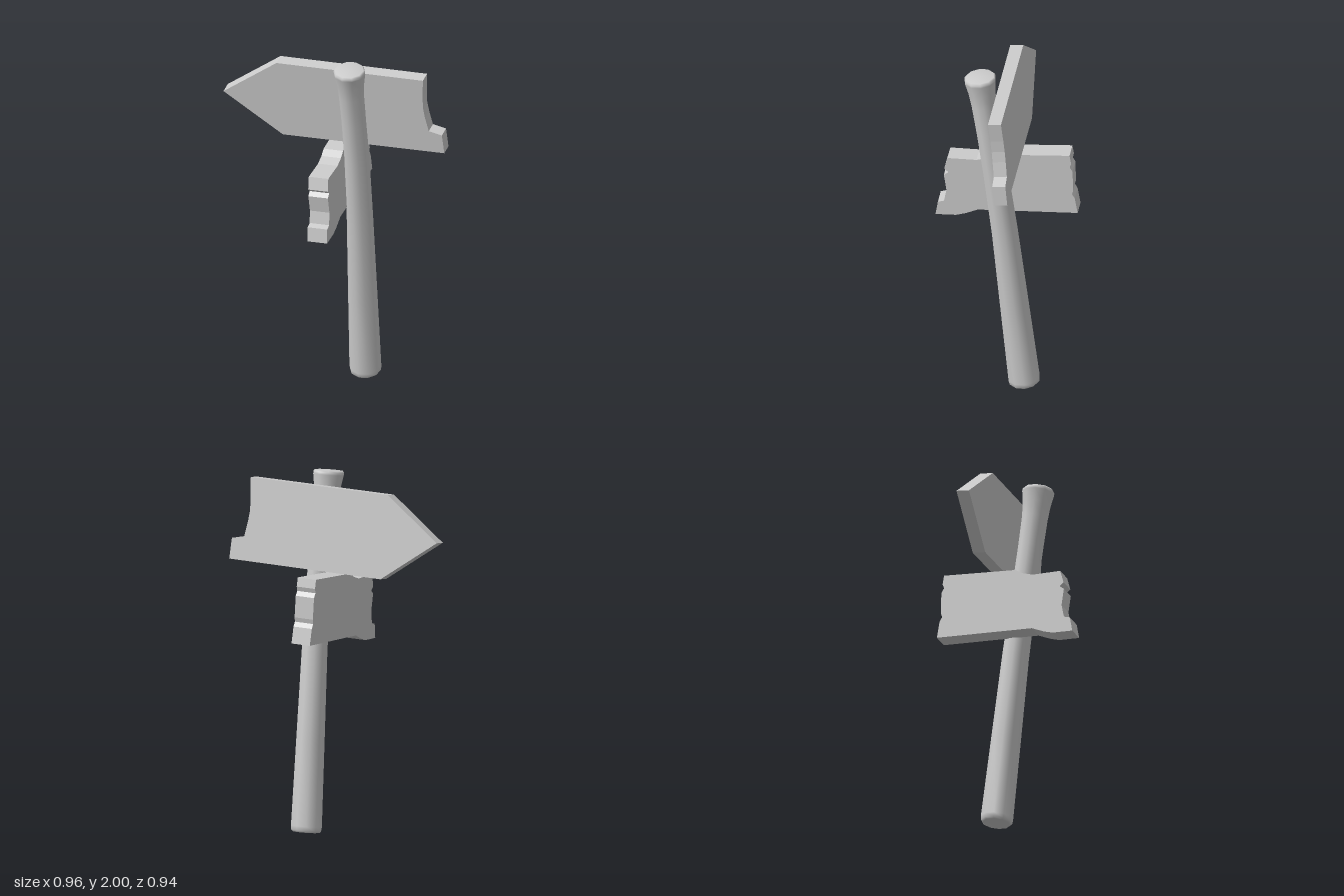
import * as THREE from 'three';
import { mergeVertices } from 'three/addons/utils/BufferGeometryUtils.js';

const material = new THREE.MeshStandardMaterial({ color: 0xcccccc });

// Leaning, slightly bent ten-sided post with a flared top
function makePost() {
  const profile = [
    [0, 0.01], [0.076, 0.012], [0.086, 0.022], [0.089, 0.045], [0.082, 0.5], [0.074, 1.0],
    [0.07, 1.4], [0.069, 1.65], [0.071, 1.82], [0.077, 1.9], [0.088, 1.965],
    [0.088, 1.978], [0.08, 1.988], [0, 1.992],
  ].map(([r, y]) => new THREE.Vector2(r, y));
  let geo = new THREE.LatheGeometry(profile, 10, Math.PI / 10);
  geo.deleteAttribute('uv');
  geo.deleteAttribute('normal');
  geo = mergeVertices(geo, 1e-4);

  // Centre line: x and z at rising heights
  const line = [[0, 0.155, 0.045], [1, 0.08, 0.127], [1.46, 0.037, 0.17], [1.8, -0.008, 0.2], [2, -0.032, 0.216]];
  const centre = (y) => {
    let i = 0;
    while (i < line.length - 2 && y > line[i + 1][0]) i++;
    const [a, b] = [line[i], line[i + 1]];
    const t = (y - a[0]) / (b[0] - a[0]);
    return [a[1] + (b[1] - a[1]) * t, a[2] + (b[2] - a[2]) * t];
  };
  const p = geo.attributes.position;
  for (let i = 0; i < p.count; i++) {
    const x = p.getX(i), y = p.getY(i), z = p.getZ(i);
    const [cx, cz] = centre(y);
    // Keep each ring square to the lean
    p.setXYZ(i, x + cx, y + 0.1 * x - 0.085 * z, z + cz);
  }
  geo.computeVertexNormals();
  return geo;
}

// Plank cut from an outline of [along, height], leaned about its middle and turned
function makePlank(outline, { thickness, pivot, lean, offset, turn }) {
  const shape = new THREE.Shape(outline.map(([u, y]) => new THREE.Vector2(u, y - pivot)));
  const geo = new THREE.ExtrudeGeometry(shape, { depth: thickness, bevelEnabled: false });
  geo.translate(0, 0, -thickness / 2);
  geo.rotateX(lean);
  geo.translate(0, 0, offset);
  geo.rotateY(turn);
  geo.translate(0, pivot, 0);
  return geo;
}

export function createModel() {
  const group = new THREE.Group();
  const add = (name, geo) => {
    const mesh = new THREE.Mesh(geo, material);
    mesh.name = name;
    group.add(mesh);
  };

  add('post', makePost());

  // Upper board: pointed at one end, broken at the other
  add('arrowBoard', makePlank([
    [-0.64, 1.67], [-0.305, 1.445], [0.63, 1.485], [0.62, 1.6], [0.545, 1.615],
    [0.526, 1.7], [0.517, 1.76], [0.517, 1.83], [0.523, 1.942], [-0.325, 1.91],
  ], { thickness: 0.073, pivot: 1.69, lean: 0.11, offset: 0.009, turn: -Math.PI / 4 }));

  // Lower board: ragged at both ends, with a split step above and below
  add('brokenBoard', makePlank([
    [-0.425, 1.03], [-0.31, 1.035], [-0.26, 1.05], [-0.19, 1.08], [0.362, 1.108],
    [0.345, 1.2], [0.33, 1.225], [0.336, 1.25], [0.332, 1.37], [0.316, 1.395],
    [0.324, 1.42], [0.315, 1.47], [-0.1, 1.44], [-0.14, 1.415], [-0.2, 1.397], [-0.36, 1.395],
    [-0.378, 1.325], [-0.355, 1.305], [-0.38, 1.285], [-0.365, 1.19], [-0.378, 1.12], [-0.412, 1.11],
  ], { thickness: 0.113, pivot: 1.25, lean: -0.04, offset: 0.022, turn: Math.PI / 4 }));

  return group;
}
